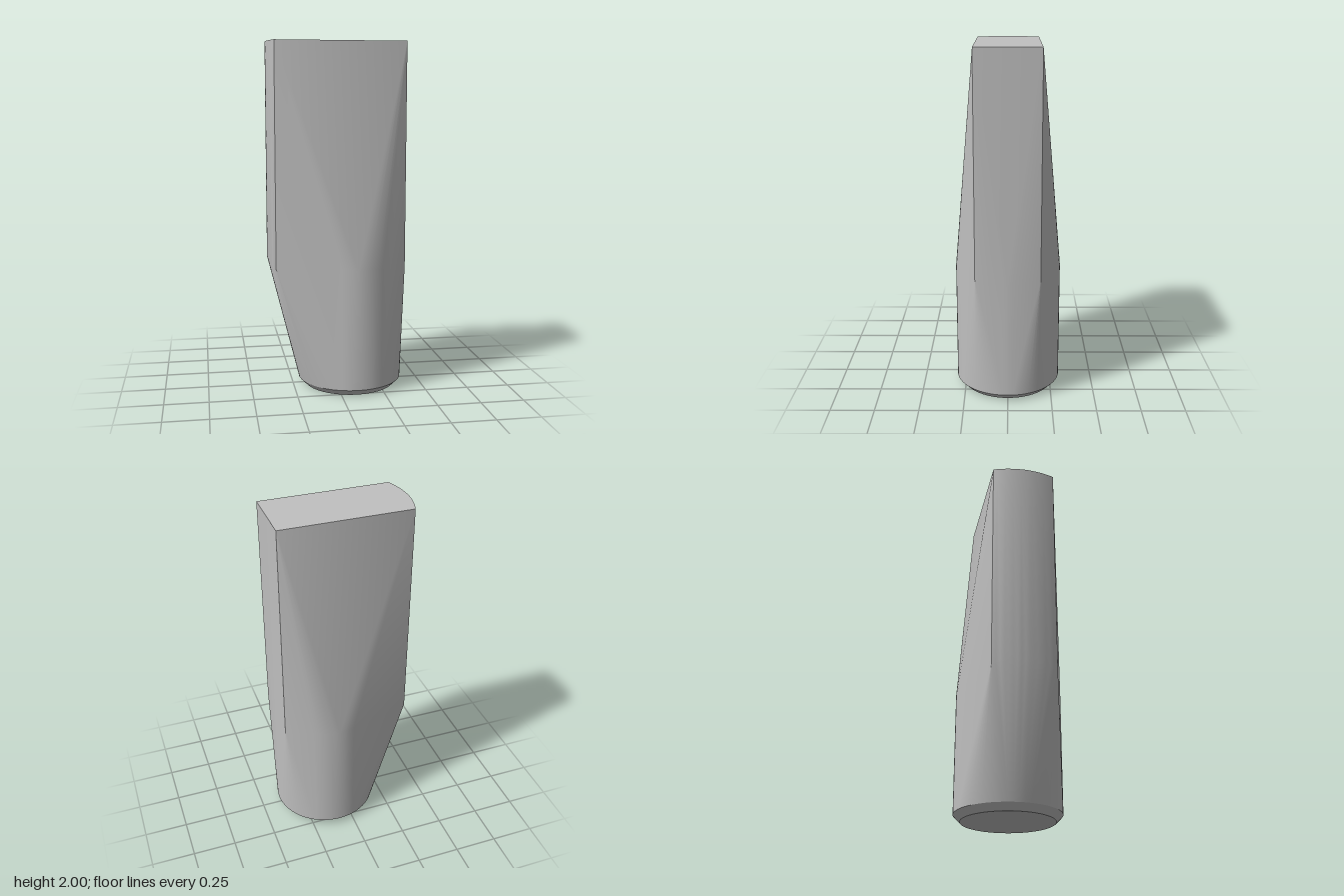
import * as THREE from 'three';
import { ConvexGeometry } from 'three/addons/geometries/ConvexGeometry.js';
import { toCreasedNormals } from 'three/addons/utils/BufferGeometryUtils.js';

const CENTER_X = 0.09;   // axis of the round foot
const RADIUS = 0.303;
const HALF_DEPTH = 0.182; // half depth of the flat blade
const SHOULDER = 0.73;    // height where foot meets blade
const TOP = 2;

// Ring of points for the round foot
function ring(radius, y, segments = 64) {
  const points = [];
  for (let i = 0; i < segments; i++) {
    const a = (i / segments) * Math.PI * 2;
    points.push(new THREE.Vector3(CENTER_X + Math.cos(a) * radius, y, Math.sin(a) * radius));
  }
  return points;
}

// Blade outline: square edge at +x, shallow arc at -x
function bladeOutline(y, arcLift) {
  const points = [
    new THREE.Vector3(0.382, y, HALF_DEPTH),
    new THREE.Vector3(0.382, y, -HALF_DEPTH),
  ];
  const steps = 16;
  for (let i = 0; i <= steps; i++) {
    const t = (i / steps) * 2 - 1;
    const bulge = 1 - t * t;
    points.push(new THREE.Vector3(-0.361 - 0.035 * bulge, y + arcLift * bulge, HALF_DEPTH * t));
  }
  return points;
}

export function createModel() {
  const steel = new THREE.MeshStandardMaterial({ color: 0xc0c0c0 });
  steel.name = 'plain grey';

  // Skin stretched over the chamfered foot and the blade
  const hull = new ConvexGeometry([
    ...ring(RADIUS - 0.038, 0),
    ...ring(RADIUS, 0.038),
    ...ring(RADIUS, SHOULDER),
    ...bladeOutline(SHOULDER, 0.04),
    ...bladeOutline(TOP, 0),
  ]);
  const body = new THREE.Mesh(toCreasedNormals(hull, 0.35), steel);
  body.name = 'taperedBody';

  const model = new THREE.Group();
  model.name = 'taperedBlock';
  model.add(body);
  return model;
}
